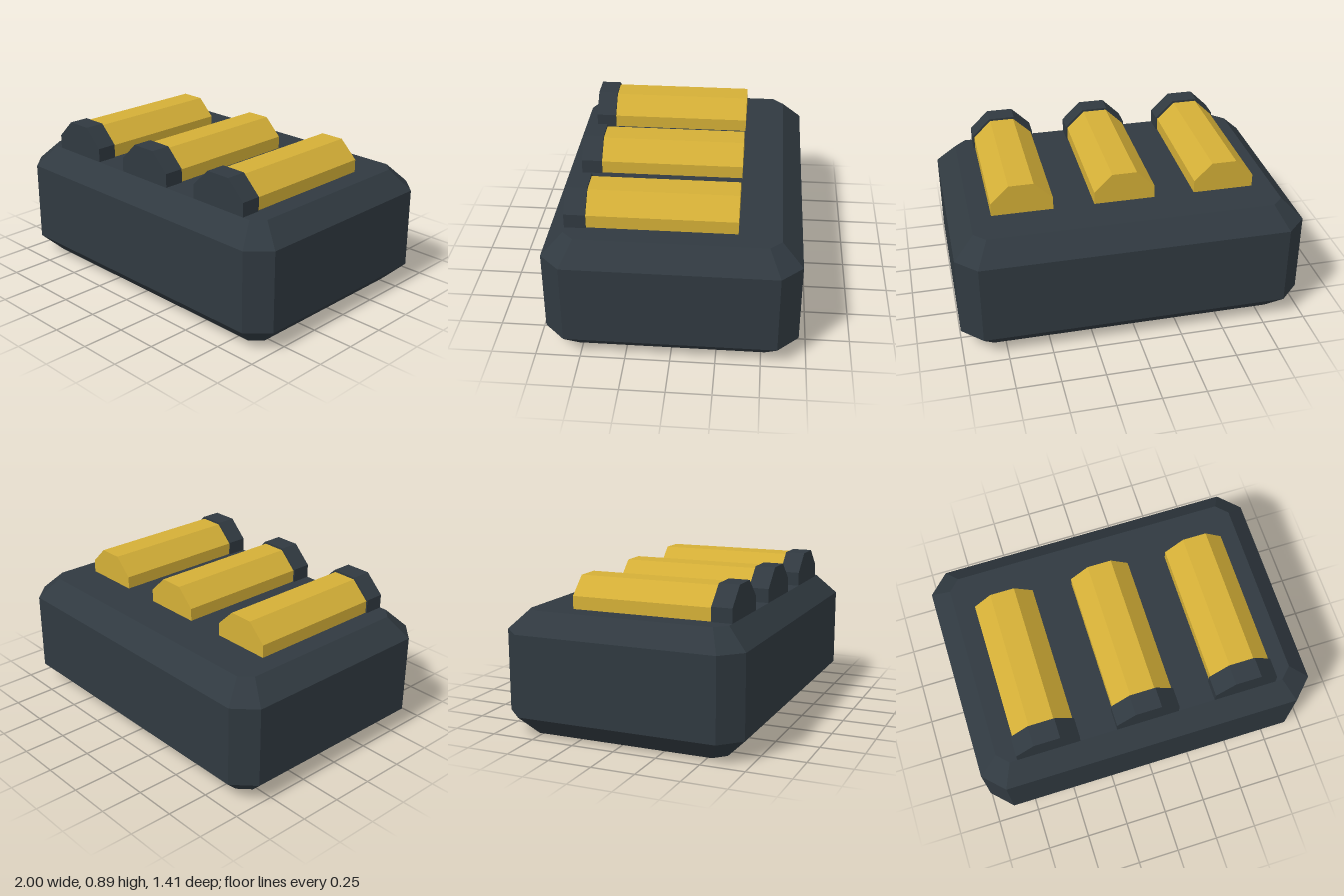
import * as THREE from 'three';

const dark = new THREE.MeshStandardMaterial({ color: 0x303940 });
dark.name = 'charcoal';
const gold = new THREE.MeshStandardMaterial({ color: 0xd4af37 });
gold.name = 'gold';

// Rectangle in plan with cut corners, as an eight-point loop
function octagon(hx, hz, cut, y) {
  return [
    [hx, hz - cut], [hx, cut - hz], [hx - cut, -hz], [cut - hx, -hz],
    [-hx, cut - hz], [-hx, hz - cut], [cut - hx, hz], [hx - cut, hz],
  ].map(([x, z]) => new THREE.Vector3(x, y, z));
}

// Flat-faced solid skinned through stacked loops and closed at both ends
function loftLoops(loops) {
  const points = [];
  const n = loops[0].length;
  for (let k = 0; k < loops.length - 1; k++) {
    for (let i = 0; i < n; i++) {
      const j = (i + 1) % n;
      const a = loops[k][i], b = loops[k][j], c = loops[k + 1][j], d = loops[k + 1][i];
      points.push(a, b, c, a, c, d);
    }
  }
  const bottom = loops[0], top = loops[loops.length - 1];
  for (let i = 1; i < n - 1; i++) {
    points.push(bottom[0], bottom[i + 1], bottom[i]);
    points.push(top[0], top[i], top[i + 1]);
  }
  const geometry = new THREE.BufferGeometry().setFromPoints(points);
  geometry.computeVertexNormals();
  return geometry;
}

// Bar with bevelled upper edges, running along z
function bevelledBar(halfWidth, halfTop, shoulder, height, zBack, zFront) {
  const base = 0.7;
  const shape = new THREE.Shape([
    [-halfWidth, base], [halfWidth, base], [halfWidth, shoulder],
    [halfTop, height], [-halfTop, height], [-halfWidth, shoulder],
  ].map(([x, y]) => new THREE.Vector2(x, y)));
  const geometry = new THREE.ExtrudeGeometry(shape, { depth: zFront - zBack, bevelEnabled: false });
  return geometry.translate(0, 0, zBack);
}

export function createModel() {
  const model = new THREE.Group();
  model.name = 'connectorBlock';

  // Chamfered housing
  const housing = new THREE.Mesh(loftLoops([
    octagon(0.883, 0.588, 0.065, 0),
    octagon(1, 0.705, 0.117, 0.117),
    octagon(1, 0.705, 0.117, 0.588),
    octagon(0.883, 0.588, 0.065, 0.705),
  ]), dark);
  housing.name = 'housing';
  model.add(housing);

  // Three gold bars, each with a dark end cap at the front
  const barGeometry = bevelledBar(0.176, 0.071, 0.779, 0.881, -0.353, 0.471);
  const capGeometry = bevelledBar(0.185, 0.076, 0.786, 0.893, 0.47, 0.588);
  for (const [side, x] of [['right', -0.588], ['middle', 0], ['left', 0.588]]) {
    const contact = new THREE.Group();
    contact.name = side + 'Contact';
    const bar = new THREE.Mesh(barGeometry, gold);
    bar.name = 'contactBar';
    const cap = new THREE.Mesh(capGeometry, dark);
    cap.name = 'endCap';
    contact.add(bar, cap);
    contact.position.x = x;
    model.add(contact);
  }
  return model;
}
